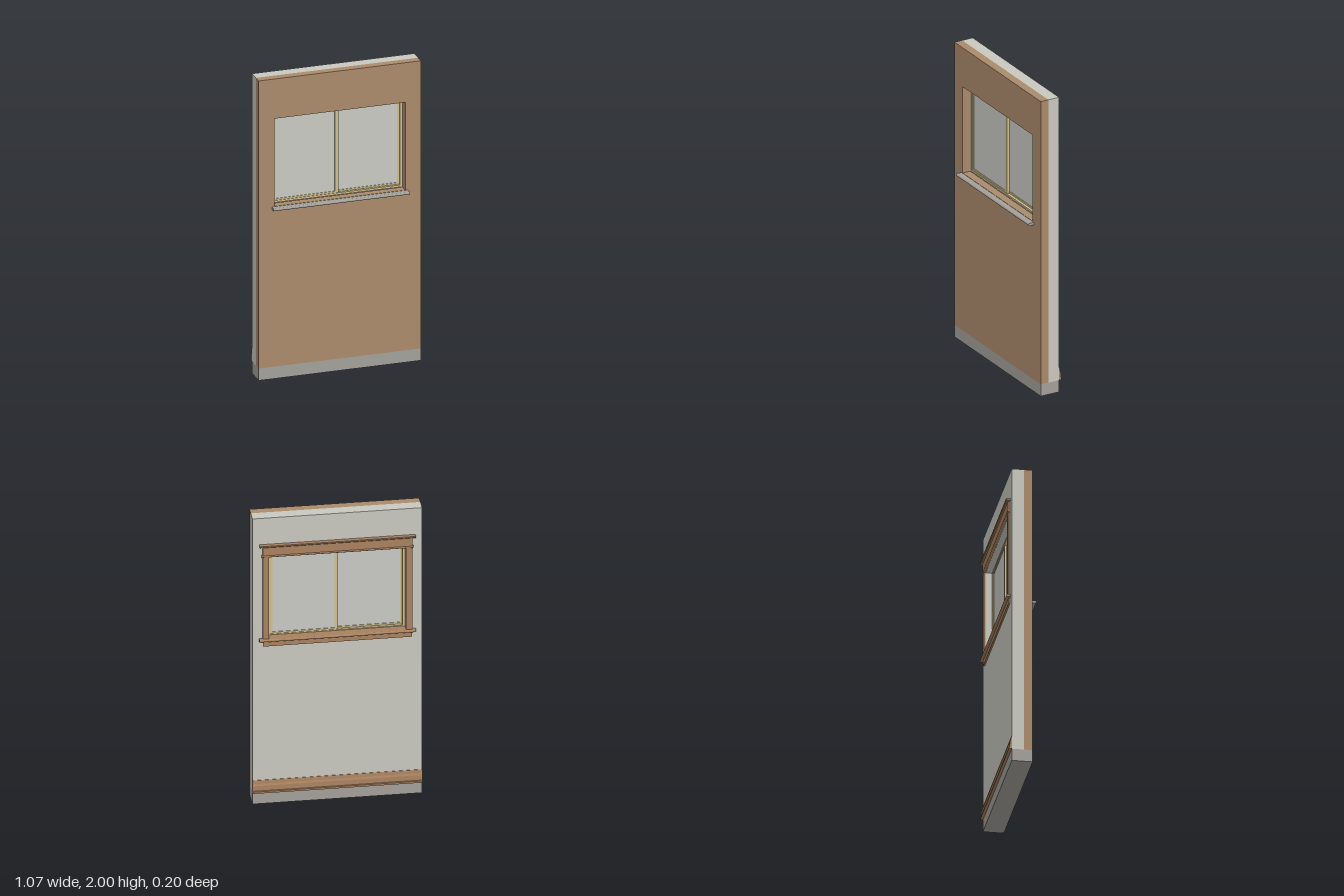
import * as THREE from 'three';

const flat = (name, color) => {
  const m = new THREE.MeshStandardMaterial({ color });
  m.name = name;
  return m;
};

export function createModel() {
  const model = new THREE.Group();
  model.name = 'wallSectionWithWindow';

  const cladding = flat('tan cladding', 0xaa8a6b);
  const plaster = flat('pale plaster', 0xc8c8c0);
  const concrete = flat('grey concrete', 0xa3a09b);
  const timber = flat('brown trim', 0xa8815f);
  const cream = flat('cream frame', 0xcfbf8e);
  const glass = flat('pale glass', 0xc8c9c3);

  const add = (name, geometry, material, parent = model) => {
    const mesh = new THREE.Mesh(geometry, material);
    mesh.name = name;
    parent.add(mesh);
    return mesh;
  };

  // Box given by its limits on each axis
  const box = (name, material, [x0, x1], [y0, y1], [z0, z1], parent) => {
    const g = new THREE.BoxGeometry(x1 - x0, y1 - y0, z1 - z0);
    g.translate((x0 + x1) / 2, (y0 + y1) / 2, (z0 + z1) / 2);
    return add(name, g, material, parent);
  };

  const rectPoints = (x0, x1, y0, y1) => [[x0, y0], [x1, y0], [x1, y1], [x0, y1]]
    .map(([x, y]) => new THREE.Vector2(x, y));

  // Rectangular panel with a rectangular hole
  const holedPanel = (name, material, outer, inner, [z0, z1], parent) => {
    const shape = new THREE.Shape(rectPoints(...outer));
    shape.holes.push(new THREE.Path(rectPoints(...inner)));
    const g = new THREE.ExtrudeGeometry(shape, { depth: z1 - z0, bevelEnabled: false });
    g.translate(0, 0, z0);
    return add(name, g, material, parent);
  };

  // Moulding: a [z, y] profile run along x
  const moulding = (name, material, profile, half, parent) => {
    const shape = new THREE.Shape(profile.map(([z, y]) => new THREE.Vector2(z, y)));
    const g = new THREE.ExtrudeGeometry(shape, { depth: half * 2, bevelEnabled: false });
    g.translate(0, 0, -half);
    g.rotateY(-Math.PI / 2);
    return add(name, g, material, parent);
  };

  // Board profile with a softened nose at z1
  const nosed = (z0, z1, y0, y1) => {
    const r = (y1 - y0) / 2;
    const dir = Math.sign(z1 - z0);
    const points = [[z0, y0]];
    for (let i = 0; i <= 6; i++) {
      const a = -Math.PI / 2 + (Math.PI * i) / 6;
      points.push([z1 - dir * r * (1 - Math.cos(a)), y0 + r + r * Math.sin(a)]);
    }
    points.push([z0, y1]);
    return points;
  };

  const W = 0.533, FRONT = 0.06, MID = 0.005, BACK = -0.072;

  // Wall layers and footing
  box('footing', concrete, [-W, W], [0, 0.08], [BACK, FRONT]);
  holedPanel('outerWall', cladding, [-W, W, 0.08, 2], [-0.43, 0.43, 1.15, 1.735], [MID, FRONT]);
  holedPanel('innerWall', plaster, [-W, W, 0.08, 2], [-0.43, 0.43, 1.14, 1.728], [BACK, MID]);

  // Window unit
  const unit = new THREE.Group();
  unit.name = 'window';
  model.add(unit);
  holedPanel('windowFrame', cream, [-0.43, 0.43, 1.151, 1.728], [-0.416, 0.416, 1.164, 1.718],
    [-0.032, 0.002], unit);
  for (const side of [-1, 1]) {
    const label = side > 0 ? 'left' : 'right';
    const x = side > 0 ? [-0.012, 0.416] : [-0.416, 0.012];
    const z = side > 0 ? [-0.028, -0.016] : [-0.014, -0.002];
    const mid = (z[0] + z[1]) / 2;
    const rim = side > 0 ? [0.012, 0.402] : [-0.402, -0.012];
    holedPanel(label + 'Sash', cream, [...x, 1.164, 1.718], [...rim, 1.175, 1.71], z, unit);
    box(label + 'Glass', glass, rim, [1.175, 1.71], [mid - 0.002, mid + 0.002], unit);
  }

  // Outside sill
  moulding('outerSill', concrete, nosed(FRONT, 0.098, 1.13, 1.148), 0.447);

  // Inside casing around the opening
  const casing = new THREE.Group();
  casing.name = 'insideCasing';
  model.add(casing);
  for (const side of [-1, 1]) {
    const x = side > 0 ? [0.43, 0.47] : [-0.47, -0.43];
    box(side > 0 ? 'leftCasing' : 'rightCasing', timber, x, [1.158, 1.73], [-0.084, BACK], casing);
  }
  moulding('headFillet', timber, nosed(BACK, -0.09, 1.73, 1.742), 0.477, casing);
  box('headBoard', timber, [-0.47, 0.47], [1.742, 1.803], [-0.085, BACK], casing);
  moulding('headCap', timber, [[BACK, 1.803], [-0.095, 1.803], [-0.1, 1.808], [-0.1, 1.816],
    [BACK, 1.816]], 0.49, casing);
  box('stoolInOpening', timber, [-0.43, 0.43], [1.141, 1.158], [BACK, -0.032], casing);
  moulding('stool', timber, nosed(BACK, -0.099, 1.141, 1.158), 0.492, casing);
  box('apron', timber, [-0.467, 0.467], [1.105, 1.141], [-0.082, BACK], casing);

  // Inside baseboard
  moulding('baseboard', timber, [[BACK, 0.08], [-0.09, 0.08], [-0.09, 0.092], [-0.085, 0.096],
    [-0.084, 0.13], [-0.079, 0.142], [-0.077, 0.16], [-0.075, 0.165], [BACK, 0.165]], W);

  return model;
}
